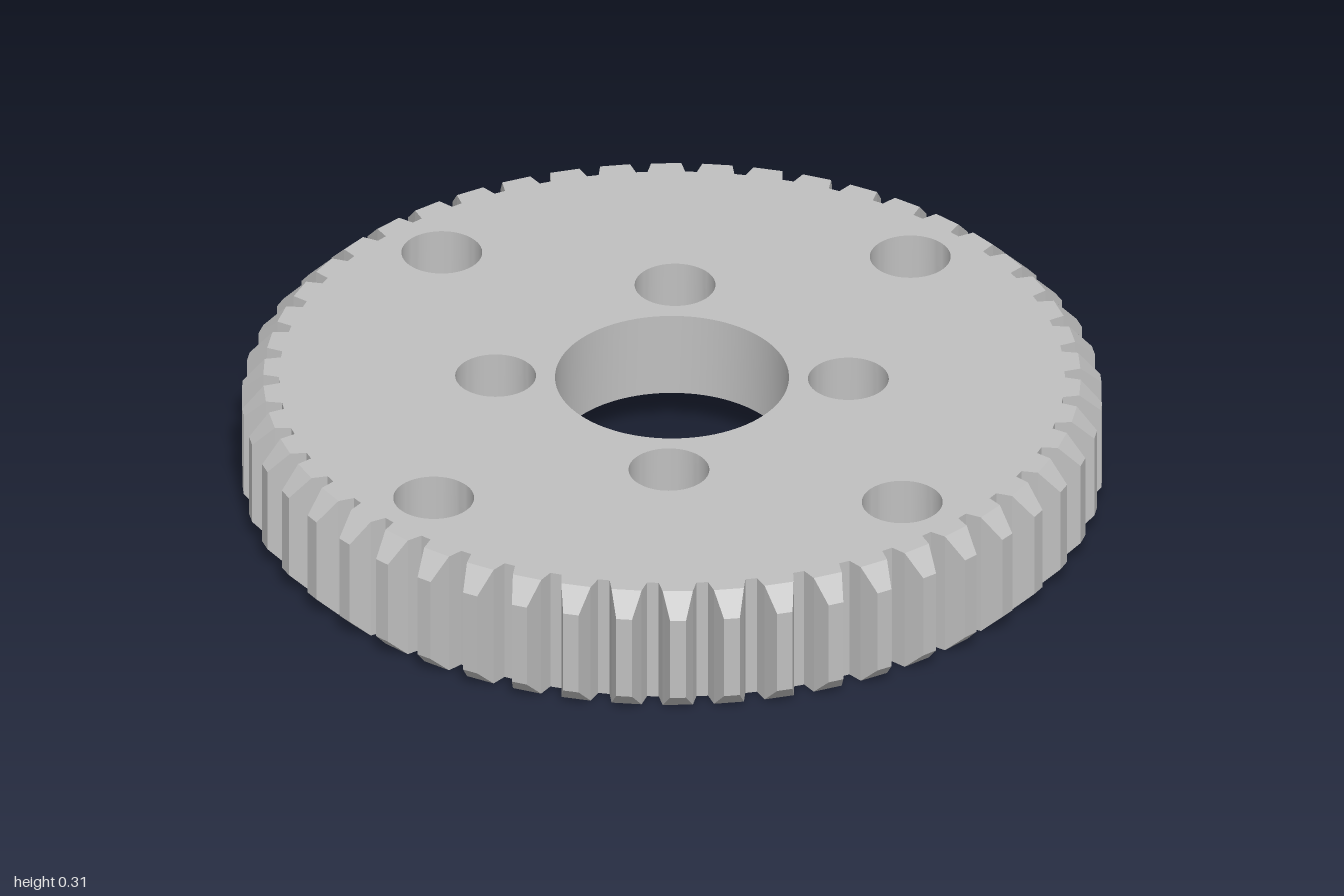
import * as THREE from 'three';
import { toCreasedNormals } from 'three/addons/utils/BufferGeometryUtils.js';

const TEETH = 50, HEIGHT = 0.31, RECESS_DEPTH = 0.1;
const RECESS_R = 0.575, BORE_R = 0.272, HOLE_R = 0.094;
const CHAMFER_R = 0.95; // tooth ends are bevelled at 45 degrees outside this radius

// half of a tooth, root to tip: [radius, half angle]
const FLANK = [[0.913, 0.048], [CHAMFER_R, 0.037], [0.965, 0.0312], [1, 0.0185]];

const polar = (r, a) => new THREE.Vector2(r * Math.cos(a), r * Math.sin(a));
const bevel = (p) => Math.max(0, p.length() - CHAMFER_R);

function circle(r, cx = 0, cz = 0, n = 64) {
  return Array.from({ length: n }, (_, i) => polar(r, (i / n) * Math.PI * 2).add(new THREE.Vector2(cx, cz)));
}

function toothPoints(k) {
  const mid = Math.PI / 2 + (k / TEETH) * Math.PI * 2;
  return [
    ...FLANK.map(([r, h]) => polar(r, mid - h)),
    ...[...FLANK].reverse().map(([r, h]) => polar(r, mid + h)),
  ];
}

function fromTriangles(corners) {
  const g = new THREE.BufferGeometry().setFromPoints(corners);
  g.computeVertexNormals();
  return g;
}

// upright wall along a closed loop in plan; bottom and top give the height at each point
function wall(loop, bottom, top, inward = false) {
  const out = [];
  loop.forEach((p, i) => {
    const q = loop[(i + 1) % loop.length];
    const a = new THREE.Vector3(p.x, bottom(p), p.y), b = new THREE.Vector3(q.x, bottom(q), q.y);
    const c = new THREE.Vector3(q.x, top(q), q.y), d = new THREE.Vector3(p.x, top(p), p.y);
    out.push(...(inward ? [a, b, c, a, c, d] : [a, c, b, a, d, c]));
  });
  return fromTriangles(out);
}

// flat horizontal face with holes, facing up or down
function face(outline, holes, y, up) {
  const shape = new THREE.Shape(outline);
  shape.holes = holes.map((h) => new THREE.Path(h));
  const g = new THREE.ShapeGeometry(shape);
  g.rotateX(up ? -Math.PI / 2 : Math.PI / 2);
  g.translate(0, y, 0);
  return g;
}

export function createModel() {
  const gear = new THREE.Group();
  gear.name = 'spurGear';
  const steel = new THREE.MeshStandardMaterial({ color: 0xc0c0c0 });
  steel.name = 'steel grey';
  const add = (name, geometry) => {
    const mesh = new THREE.Mesh(geometry, steel);
    mesh.name = name;
    gear.add(mesh);
  };

  const teeth = Array.from({ length: TEETH }, (_, k) => toothPoints(k));
  const outline = teeth.flat();
  const faceOutline = outline.filter((p) => p.length() < CHAMFER_R + 1e-4);

  const bore = circle(BORE_R, 0, 0, 96);
  const recess = circle(RECESS_R, 0, 0, 128);
  const innerHoles = [], outerHoles = [];
  for (let i = 0; i < 4; i++) {
    const a = (i * Math.PI) / 2;
    const inner = polar(0.41, a + Math.PI / 4), outer = polar(0.77, a);
    innerHoles.push(circle(HOLE_R, inner.x, inner.y));
    outerHoles.push(circle(HOLE_R, outer.x, outer.y));
  }

  // flat faces
  add('topFace', face(faceOutline, [bore, ...innerHoles, ...outerHoles], HEIGHT, true));
  add('bottomFace', face(faceOutline, [recess, ...outerHoles], 0, false));
  add('recessFace', face(recess, [bore, ...innerHoles], RECESS_DEPTH, false));

  // toothed rim
  add('toothFlanks', wall(outline, bevel, (p) => HEIGHT - bevel(p)));

  // bevelled tooth ends, top and bottom
  const ends = [];
  for (const tooth of teeth) {
    const tip = tooth.slice(1, -1);
    for (let i = 1; i < tip.length - 1; i++) {
      const tri = [tip[0], tip[i], tip[i + 1]];
      ends.push(...[...tri].reverse().map((p) => new THREE.Vector3(p.x, HEIGHT - bevel(p), p.y)));
      ends.push(...tri.map((p) => new THREE.Vector3(p.x, bevel(p), p.y)));
    }
  }
  add('toothBevels', fromTriangles(ends));

  // round inner walls
  const roundWall = (loop, y0, y1) => toCreasedNormals(wall(loop, () => y0, () => y1, true), Math.PI / 6);
  add('boreWall', roundWall(bore, RECESS_DEPTH, HEIGHT));
  add('recessWall', roundWall(recess, 0, RECESS_DEPTH));
  innerHoles.forEach((h) => add('innerHoleWall', roundWall(h, RECESS_DEPTH, HEIGHT)));
  outerHoles.forEach((h) => add('outerHoleWall', roundWall(h, 0, HEIGHT)));

  return gear;
}
